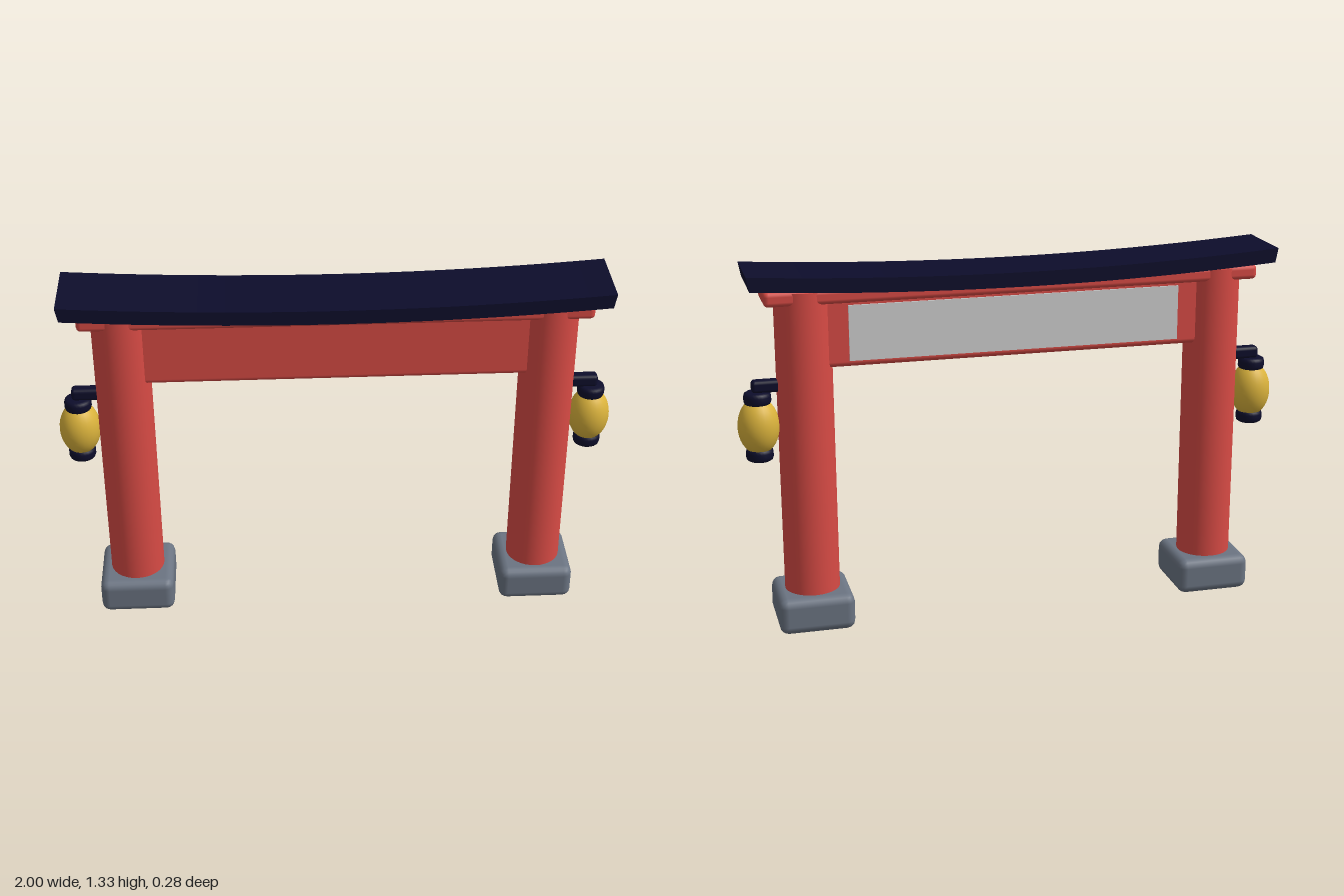
import * as THREE from 'three';
import { RoundedBoxGeometry } from 'three/addons/geometries/RoundedBoxGeometry.js';

function material(name, color) {
  const m = new THREE.MeshStandardMaterial({ color });
  m.name = name;
  return m;
}

export function createModel() {
  const red = material('red lacquer', 0xd84b45);
  const navy = material('dark navy', 0x0d0d2b);
  const stone = material('grey stone', 0x6b7482);
  const gold = material('lantern gold', 0xdbb33c);
  const pale = material('pale panel', 0xd0d0d0);

  const gate = new THREE.Group();
  gate.name = 'gate';

  function add(parent, name, geometry, mat, x = 0, y = 0, z = 0) {
    const mesh = new THREE.Mesh(geometry, mat);
    mesh.name = name;
    mesh.position.set(x, y, z);
    parent.add(mesh);
    return mesh;
  }
  const roundBox = (w, h, d, r) => new RoundedBoxGeometry(w, h, d, 2, r);
  const lathe = (points, sides) =>
    new THREE.LatheGeometry(points.map(([r, y]) => new THREE.Vector2(r, y)), sides);

  // Curved roof: flat in the middle, lifting toward both ends
  const roof = new THREE.Shape();
  const steps = 20;
  const lift = (t) => 0.035 * t * t;
  for (let i = 0; i <= steps; i++) {
    const t = -1 + (2 * i) / steps;
    if (i === 0) roof.moveTo(0.95 * t, 1.238 + lift(t));
    else roof.lineTo(0.95 * t, 1.238 + lift(t));
  }
  for (let i = steps; i >= 0; i--) {
    const t = -1 + (2 * i) / steps;
    roof.lineTo(0.96 * t, 1.29 + lift(t));
  }
  roof.closePath();
  add(gate, 'roof', new THREE.ExtrudeGeometry(roof, { depth: 0.264, bevelEnabled: false }), navy, 0, 0, -0.132);

  // Cross beams and the plate on the back
  add(gate, 'topRail', roundBox(1.8, 0.055, 0.182, 0.018), red, 0, 1.231, 0);
  add(gate, 'beam', roundBox(1.5, 0.25, 0.116, 0.02), red, 0, 1.093, 0);
  add(gate, 'backPanel', new THREE.BoxGeometry(1.21, 0.2, 0.008), pale, 0, 1.092, -0.06);

  // Lantern profiles
  const bodyProfile = [];
  for (let i = 0; i <= 12; i++) {
    const a = (-0.5 + i / 12) * Math.PI * 0.64;
    bodyProfile.push([0.074 * Math.cos(a), 0.088 * Math.sin(a) / Math.sin(Math.PI * 0.32)]);
  }
  const capProfile = [[0, -0.023], [0.038, -0.023], [0.046, -0.018], [0.049, -0.008],
    [0.049, 0.008], [0.046, 0.018], [0.038, 0.023], [0, 0.023]];

  for (const [side, s] of [['left', 1], ['right', -1]]) {
    // Pillar on its stone footing
    add(gate, side + 'Pillar', new THREE.CylinderGeometry(0.1, 0.1, 1.15, 32), red, s * 0.758, 0.675, 0);
    add(gate, side + 'Footing', roundBox(0.275, 0.135, 0.275, 0.032), stone, s * 0.758, 0.0675, 0);

    // Hanging lantern
    const lantern = new THREE.Group();
    lantern.name = side + 'Lantern';
    lantern.position.set(s * 0.927, 0.76, 0);
    gate.add(lantern);
    add(lantern, 'lanternBody', lathe(bodyProfile, 24), gold);
    add(lantern, 'lanternTopCap', lathe(capProfile, 24), navy, 0, 0.103, 0);
    add(lantern, 'lanternBottomCap', lathe(capProfile, 24), navy, 0, -0.103, 0);
    add(lantern, 'lanternArm', roundBox(0.12, 0.045, 0.046, 0.013), navy, -s * 0.04, 0.146, 0);
  }
  return gate;
}
